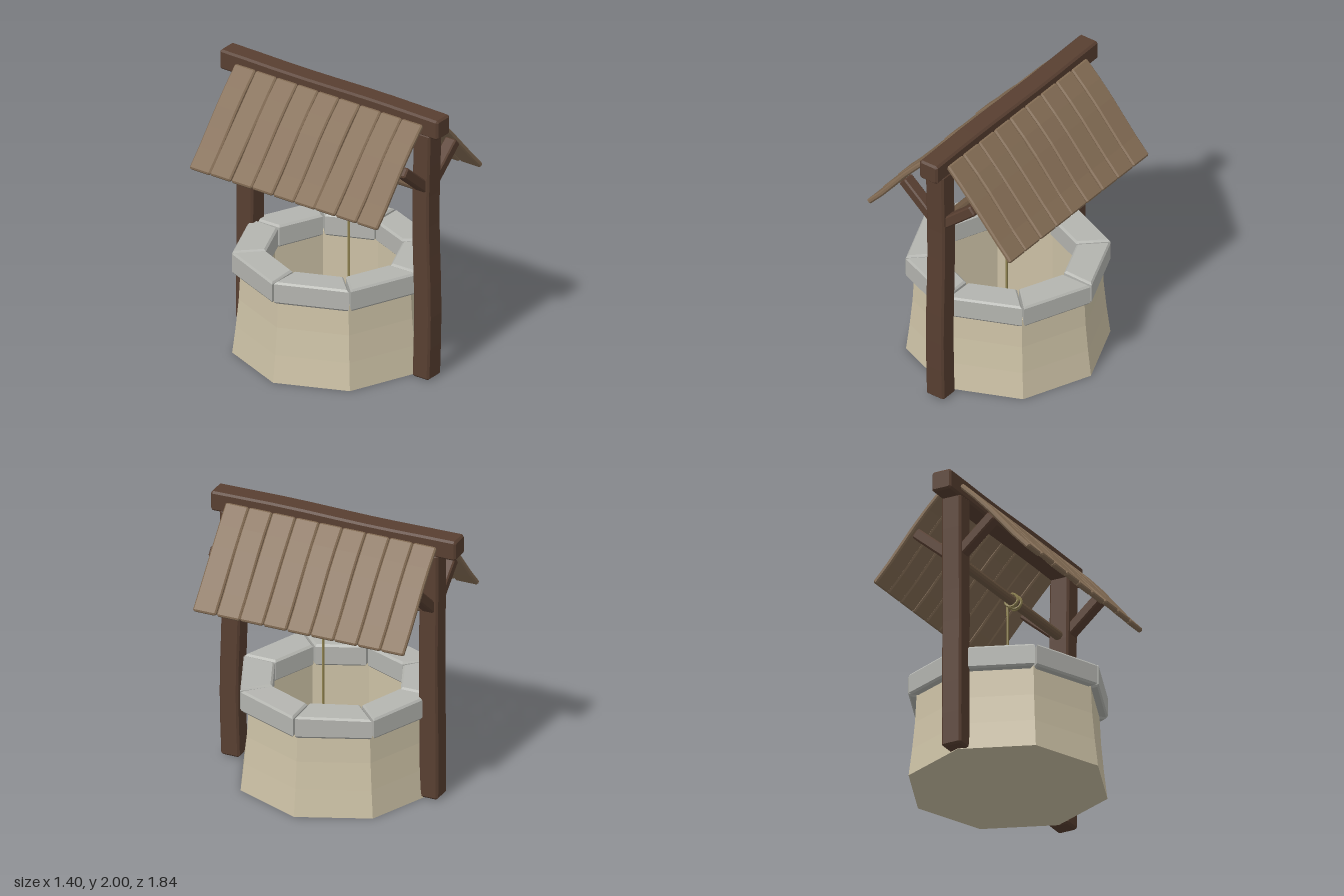
import * as THREE from 'three';

const paint = (color) => new THREE.MeshStandardMaterial({ color, flatShading: true, roughness: 0.9 });

// Small seeded random, -1 to 1
let seed = 7;
const rnd = () => {
  seed = (seed * 16807) % 2147483647;
  return (seed / 2147483647) * 2 - 1;
};

// Chamfered bar lying along z, centred, bent up and down by bend(t), t = 0..1
function timber(w, h, length, bevel, steps = 1, bend = () => 0) {
  const x = w / 2, y = h / 2, c = bevel;
  const section = new THREE.Shape([
    [-x + c, -y], [x - c, -y], [x, -y + c], [x, y - c],
    [x - c, y], [-x + c, y], [-x, y - c], [-x, -y + c],
  ].map(([px, py]) => new THREE.Vector2(px, py)));
  const geo = new THREE.ExtrudeGeometry(section, {
    depth: length - 2 * bevel, steps, bevelEnabled: true, bevelSegments: 1,
    bevelSize: bevel, bevelThickness: bevel, bevelOffset: -bevel,
  });
  geo.translate(0, 0, bevel - length / 2);
  const p = geo.attributes.position;
  for (let i = 0; i < p.count; i++) p.setY(i, p.getY(i) + bend(p.getZ(i) / length + 0.5));
  geo.computeVertexNormals();
  return geo;
}

// One rim stone facing +x, with an uneven top
function rimStone() {
  const outer = 0.65, inner = 0.435, gap = 0.008, bevel = 0.014;
  const half = (r) => r * Math.tan(Math.PI / 8) - gap;
  const footprint = new THREE.Shape([
    new THREE.Vector2(inner, -half(inner)), new THREE.Vector2(outer, -half(outer)),
    new THREE.Vector2(outer, half(outer)), new THREE.Vector2(inner, half(inner)),
  ]);
  const geo = new THREE.ExtrudeGeometry(footprint, {
    depth: 0.16 - 2 * bevel, bevelEnabled: true, bevelSegments: 1,
    bevelSize: bevel, bevelThickness: bevel, bevelOffset: -bevel,
  });
  geo.rotateX(-Math.PI / 2).translate(0, 0.6 + bevel, 0);
  const tiltX = rnd() * 0.04, tiltZ = rnd() * 0.025;
  const p = geo.attributes.position;
  for (let i = 0; i < p.count; i++) {
    if (p.getY(i) < 0.68) continue;
    p.setY(i, p.getY(i) + tiltX * (p.getX(i) - 0.54) + tiltZ * p.getZ(i));
  }
  geo.computeVertexNormals();
  return geo;
}

export function createModel() {
  const well = new THREE.Group();
  well.name = 'well';
  const plaster = paint(0xcdc2a6), stone = paint(0xb4b5b0), wood = paint(0x583f31);
  const shingle = paint(0x836c54), axleWood = paint(0x6e5843), ropeFibre = paint(0x8f8250);

  const add = (parent, name, geo, mat) => {
    const mesh = new THREE.Mesh(geo, mat);
    mesh.name = name;
    parent.add(mesh);
    return mesh;
  };
  // Lays a bar's length on the line from a to b
  const span = (mesh, a, b) => {
    mesh.position.copy(a).lerp(b, 0.5);
    mesh.lookAt(b);
  };

  // Octagonal wall: flared outside, hollow inside, with a floor
  const profile = [
    [0, 0], [0.7, 0], [0.675, 0.2], [0.655, 0.4], [0.643, 0.62],
    [0.5, 0.62], [0.5, 0.03], [0, 0.03],
  ].map(([r, y]) => new THREE.Vector2(r, y));
  add(well, 'wall', new THREE.LatheGeometry(profile, 8), plaster);

  // Ring of eight rim stones
  const rim = new THREE.Group();
  rim.name = 'rim';
  well.add(rim);
  for (let k = 0; k < 8; k++) {
    add(rim, 'rimStone', rimStone(), stone).rotation.y = (k + 0.5) * Math.PI / 4;
  }

  const frame = new THREE.Group();
  frame.name = 'frame';
  well.add(frame);

  // Posts with a slight waver, and a pair of braces on each
  for (const [z, phase] of [[0.775, 2.6], [-0.712, 0.4]]) {
    const amp = z > 0 ? 0.008 : 0.003;
    const post = add(frame, 'post',
      timber(0.15, 0.14, 1.86, 0.014, 8, (t) => amp * Math.sin(t * 8 + phase)), wood);
    post.rotation.x = -Math.PI / 2;
    post.position.set(0, 0.935, z);
    for (const s of [-1, 1]) {
      const brace = add(frame, 'brace', timber(0.09, 0.075, 0.33, 0.01), wood);
      span(brace, new THREE.Vector3(s * 0.05, 1.455, z), new THREE.Vector3(s * 0.295, 1.665, z));
    }
  }

  // Ridge beam
  const beam = add(frame, 'ridgeBeam',
    timber(0.15, 0.146, 1.835, 0.014, 8, (t) => 0.004 * Math.cos(t * 9)), wood);
  beam.position.set(0, 1.923, 0);

  // Nine planks on each roof slope
  const count = 9, pitch = 1.58 / count;
  for (const s of [-1, 1]) {
    const slope = new THREE.Group();
    slope.name = s > 0 ? 'leftRoofSlope' : 'rightRoofSlope';
    frame.add(slope);
    for (let i = 0; i < count; i++) {
      const z = 0.01 + (i - (count - 1) / 2) * pitch;
      const bow = 0.006 + rnd() * 0.006;
      const plank = add(slope, 'roofPlank',
        timber(pitch - 0.004, 0.036, 0.785, 0.01, 5, (t) => bow * Math.sin(t * Math.PI * 1.7)), shingle);
      span(plank, new THREE.Vector3(s * 0.075, 1.925, z), new THREE.Vector3(s * 0.601, 1.36, z));
    }
  }

  // Axle between the posts
  const axleY = 1.42;
  const axle = add(frame, 'axle', new THREE.CylinderGeometry(0.036, 0.036, 1.42, 12), axleWood);
  axle.rotation.x = Math.PI / 2;
  axle.position.set(0, axleY, 0.03);

  // Rope wound on the axle, then hanging into the well
  const path = [], turns = 4, ropeZ = 0.085;
  for (let i = turns * 12; i >= 0; i--) {
    const a = i * Math.PI / 6;
    path.push(new THREE.Vector3(0.046 * Math.cos(a), axleY + 0.046 * Math.sin(a),
      ropeZ + 0.035 * Math.sin(a / turns)));
  }
  for (const y of [1.3, 1.0, 0.6, 0.1]) path.push(new THREE.Vector3(0.046, y, ropeZ));
  add(frame, 'rope',
    new THREE.TubeGeometry(new THREE.CatmullRomCurve3(path), 220, 0.009, 6), ropeFibre);

  frame.position.x = 0.005;
  return well;
}
